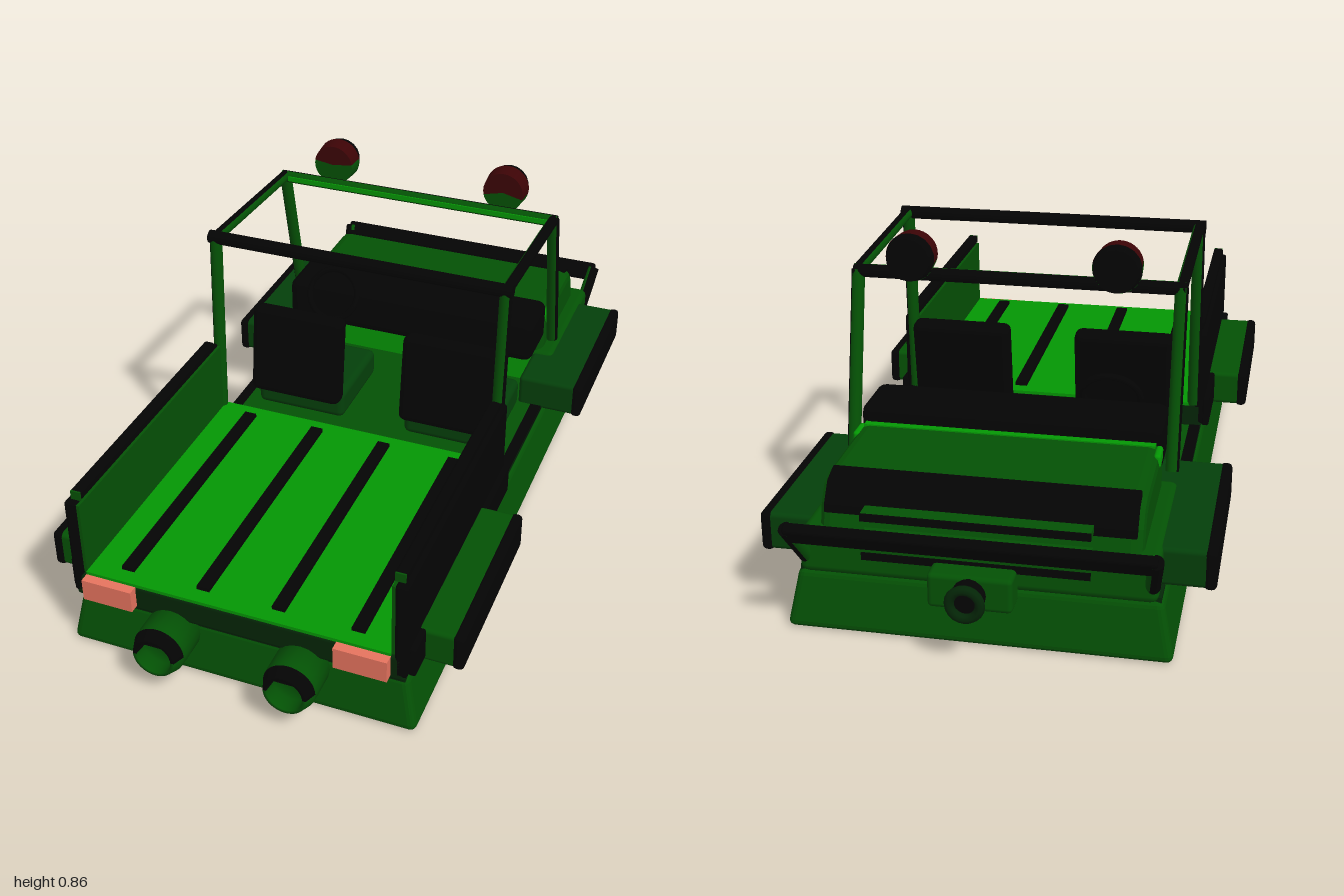
import * as THREE from 'three';
import { RoundedBoxGeometry } from 'three/addons/geometries/RoundedBoxGeometry.js';

export function createModel() {
  const model = new THREE.Group();
  model.name = 'hoverTruck';
  const mat = (name, color) => {
    const m = new THREE.MeshStandardMaterial({ color });
    m.name = name;
    return m;
  };
  const green = mat('brightGreen', 0x049804);
  const dark = mat('darkGreen', 0x045205);
  const mid = mat('forestGreen', 0x04400a);
  const deep = mat('deepGreen', 0x042607);
  const black = mat('black', 0x040404);
  const red = mat('darkRed', 0x3c0406);
  const coral = mat('coral', 0xf27a64);

  const add = (name, geo, m) => {
    const mesh = new THREE.Mesh(geo, m);
    mesh.name = name;
    model.add(mesh);
    return mesh;
  };
  // Box given by its minimum and maximum on each axis, optionally rounded
  const box = (name, m, [x0, x1], [y0, y1], [z0, z1], r = 0) => {
    const s = [x1 - x0, y1 - y0, z1 - z0];
    const geo = r ? new RoundedBoxGeometry(...s, 2, r) : new THREE.BoxGeometry(...s);
    geo.translate((x0 + x1) / 2, (y0 + y1) / 2, (z0 + z1) / 2);
    return add(name, geo, m);
  };
  // The same box on either side of the centre line
  const pair = (name, m, [x0, x1], y, z, r) => {
    box(name + 'Left', m, [x0, x1], y, z, r);
    box(name + 'Right', m, [-x1, -x0], y, z, r);
  };
  // Round bar between two points; start and sweep pick a strip of its surface
  const rod = (name, m, a, b, r, start = 0, sweep = Math.PI * 2) => {
    const p = new THREE.Vector3(...a), q = new THREE.Vector3(...b);
    const d = q.clone().sub(p);
    const mesh = add(name, new THREE.CylinderGeometry(r, r, d.length(), 12, 1, false, start, sweep), m);
    mesh.position.copy(p).lerp(q, 0.5);
    mesh.quaternion.setFromUnitVectors(new THREE.Vector3(0, 1, 0), d.normalize());
  };
  // Bar on side s with a black strip of the given width outside and green inside
  const twoToneRod = (name, s, a, b, r, sweep) => {
    const middle = s * Math.PI / 2;
    rod(name + 'Outside', black, a, b, r, middle - sweep / 2, sweep);
    rod(name + 'Inside', dark, a, b, r, middle + sweep / 2, Math.PI * 2 - sweep);
  };
  // Side profile of [z, y] points extruded across the width
  const profile = (name, m, pts, halfWidth, bevel) => {
    const shape = new THREE.Shape(pts.map(([z, y]) => new THREE.Vector2(-z, y)));
    const depth = 2 * (halfWidth - bevel);
    const geo = new THREE.ExtrudeGeometry(shape, {
      depth, bevelEnabled: true, bevelThickness: bevel, bevelSize: bevel, bevelOffset: -bevel, bevelSegments: 3,
    });
    geo.translate(0, 0, -depth / 2).rotateY(Math.PI / 2);
    return add(name, geo, m);
  };

  // Hull, narrowing towards the top
  const hull = box('hull', dark, [-0.465, 0.465], [0, 0.15], [-0.89, 0.9], 0.018);
  const p = hull.geometry.attributes.position;
  for (let i = 0; i < p.count; i++) {
    const t = p.getY(i) / 0.15;
    p.setX(i, p.getX(i) * (1 - 0.065 * t));
    p.setZ(i, p.getZ(i) * (1 - 0.025 * t));
  }
  hull.geometry.computeVertexNormals();
  box('deck', deep, [-0.43, 0.43], [0.14, 0.158], [-0.86, 0.88]);

  // Load bed
  box('bedBase', deep, [-0.435, 0.435], [0.158, 0.232], [0.115, 0.9], 0.01);
  box('bedFloor', green, [-0.4, 0.4], [0.231, 0.24], [0.1, 0.9]);
  for (const x of [-0.305, -0.1, 0.1, 0.305])
    box('bedStrip', black, [x - 0.017, x + 0.017], [0.24, 0.25], [0.14, 0.86]);
  pair('bedWall', black, [0.408, 0.44], [0.17, 0.446], [0.115, 0.9], 0.008);
  pair('bedWallLining', dark, [0.4, 0.408], [0.235, 0.44], [0.12, 0.895]);
  pair('bedRail', black, [0.4, 0.43], [0.445, 0.472], [0.15, 0.88], 0.008);
  pair('bedRailEnd', dark, [0.402, 0.428], [0.446, 0.47], [0.877, 0.882]);
  pair('bedSill', black, [0.435, 0.455], [0.165, 0.25], [0.115, 0.88], 0.006);
  pair('tailLight', coral, [0.265, 0.4], [0.172, 0.232], [0.89, 0.925]);

  // Thrusters at the tail, with a two-tone nozzle
  const body = [[0, 0.86], [0.068, 0.86], [0.068, 0.955], [0.067, 0.97]];
  const nozzle = [[0.067, 0.97], [0.055, 1], [0.046, 1], [0.042, 0.965], [0, 0.965]];
  for (const x of [-0.172, 0.172]) {
    const turned = (name, m, list, start, sweep) => {
      const pts = list.map(([r, h]) => new THREE.Vector2(r, h));
      const geo = new THREE.LatheGeometry(pts, 20, start, sweep);
      add(name, geo.rotateX(Math.PI / 2), m).position.set(x, 0.117, 0);
    };
    turned('thruster', dark, body, 0, Math.PI * 2);
    turned('nozzleTop', black, nozzle, Math.PI / 2, Math.PI);
    turned('nozzleBottom', dark, nozzle, -Math.PI / 2, Math.PI);
  }

  // Fenders with dark outer guards
  for (const [name, m, x, z] of [['rearFender', dark, 0.43, [0.315, 0.81]], ['frontFender', mid, 0.36, [-0.8, -0.31]]]) {
    pair(name, m, [x, 0.535], [0.155, 0.252], z, 0.012);
    pair(name + 'Guard', black, [0.52, 0.55], [0.152, 0.254], [z[0] - 0.003, z[1] + 0.003], 0.012);
  }

  // Nose, hood and dashboard
  box('noseBase', dark, [-0.425, 0.425], [0.15, 0.26], [-0.885, -0.45], 0.02);
  profile('hood', dark, [[-0.46, 0.2], [-0.46, 0.375], [-0.765, 0.373], [-0.81, 0.358],
    [-0.84, 0.315], [-0.86, 0.24], [-0.86, 0.2]], 0.385, 0.03);
  // Dark band wrapped over the front edge of the hood
  profile('hoodBand', black, [[-0.765, 0.35], [-0.765, 0.378], [-0.812, 0.363], [-0.846, 0.315],
    [-0.849, 0.295], [-0.82, 0.295]], 0.37, 0.004);
  box('dashboard', black, [-0.385, 0.385], [0.29, 0.42], [-0.5, -0.33], 0.025);
  box('firewall', green, [-0.36, 0.36], [0.158, 0.3], [-0.46, -0.435]);
  box('hoodStrip', green, [-0.37, 0.37], [0.37, 0.378], [-0.52, -0.48]);
  pair('hoodTrim', green, [0.37, 0.388], [0.335, 0.372], [-0.56, -0.495], 0.008);
  for (const y of [0.21, 0.258, 0.31]) {
    box('grilleSlat', dark, [-0.27, 0.27], [y - 0.009, y + 0.009], [-0.884, -0.842]);
    box('grilleSlatFront', black, [-0.27, 0.27], [y - 0.009, y + 0.009], [-0.89, -0.884]);
  }

  // Cab floor, sills and seats
  box('cabFloor', dark, [-0.4, 0.4], [0.155, 0.165], [-0.44, 0.115]);
  pair('cabSill', black, [0.4, 0.43], [0.15, 0.166], [-0.35, 0.115]);
  for (const x of [-0.228, 0.228]) {
    box('seatCushion', mid, [x - 0.135, x + 0.135], [0.165, 0.25], [-0.31, -0.035], 0.02);
    const back = box('seatBack', black, [-0.137, 0.137], [-0.132, 0.132], [-0.029, 0.029], 0.02);
    back.position.set(x, 0.364, -0.034);
    back.rotation.x = -0.13;
  }

  // Steering wheel
  const wheel = add('steeringWheel', new THREE.TorusGeometry(0.075, 0.009, 8, 28), black);
  wheel.position.set(-0.23, 0.415, -0.308);
  wheel.rotation.x = -0.49;

  // Roll cage
  for (const s of [-1, 1]) {
    const x = 0.41 * s;
    twoToneRod('rearPost', s, [x, 0.235, 0.11], [x, 0.767, 0.085], 0.017, Math.PI / 2);
    twoToneRod('roofRail', s, [x, 0.745, -0.385], [x, 0.767, 0.085], 0.015, Math.PI * 1.4);
    twoToneRod('frontPost', s, [x, 0.3, -0.485], [x, 0.745, -0.385], 0.017, Math.PI / 2);
  }
  rod('rearRoofBar', black, [-0.428, 0.767, 0.085], [0.428, 0.767, 0.085], 0.018);
  // Front roof bar: black in front, green behind
  rod('frontRoofBarFront', black, [-0.42, 0.742, -0.385], [0.42, 0.742, -0.385], 0.017, Math.PI / 2, Math.PI);
  rod('frontRoofBarBack', dark, [-0.42, 0.742, -0.385], [0.42, 0.742, -0.385], 0.017, -Math.PI / 2, Math.PI);
  box('frontRoofBarTrim', green, [-0.395, 0.395], [0.736, 0.75], [-0.372, -0.366]);

  // Roof lamps facing the nose: red above, green below, dark front
  for (const [x, lower] of [[-0.258, Math.PI * 1.1], [0.258, Math.PI * 0.85]]) {
    const part = (name, m, rBack, rFront, len, z, start, sweep) => {
      const geo = new THREE.CylinderGeometry(rBack, rFront, len, 18, 1, false, start, sweep);
      add(name, geo.rotateX(Math.PI / 2), m).position.set(x, 0.8, z);
    };
    part('lampHousingTop', red, 0.058, 0.062, 0.05, -0.415, lower / 2, Math.PI * 2 - lower);
    part('lampHousingBottom', dark, 0.058, 0.062, 0.05, -0.415, -lower / 2, lower);
    part('lampFront', black, 0.062, 0.054, 0.025, -0.4525, 0, Math.PI * 2);
  }

  // Front guard bar and winch
  for (const s of [-1, 1])
    twoToneRod('guardStrut', s, [0.41 * s, 0.19, -0.87], [0.425 * s, 0.3, -0.955], 0.018, Math.PI * 1.2);
  const bar = box('guardBar', black, [-0.43, 0.43], [-0.028, 0.028], [-0.014, 0.014], 0.008);
  bar.position.set(0, 0.288, -0.95);
  bar.rotation.x = -0.6;
  box('winch', dark, [-0.1, 0.1], [0.125, 0.212], [-0.945, -0.87], 0.012);
  const drum = new THREE.CylinderGeometry(0.04, 0.04, 0.05, 16).rotateX(Math.PI / 2);
  add('winchHub', drum, black).position.set(0, 0.168, -0.955);
  add('winchRing', new THREE.TorusGeometry(0.036, 0.012, 8, 20), deep).position.set(0, 0.168, -0.988);

  return model;
}
